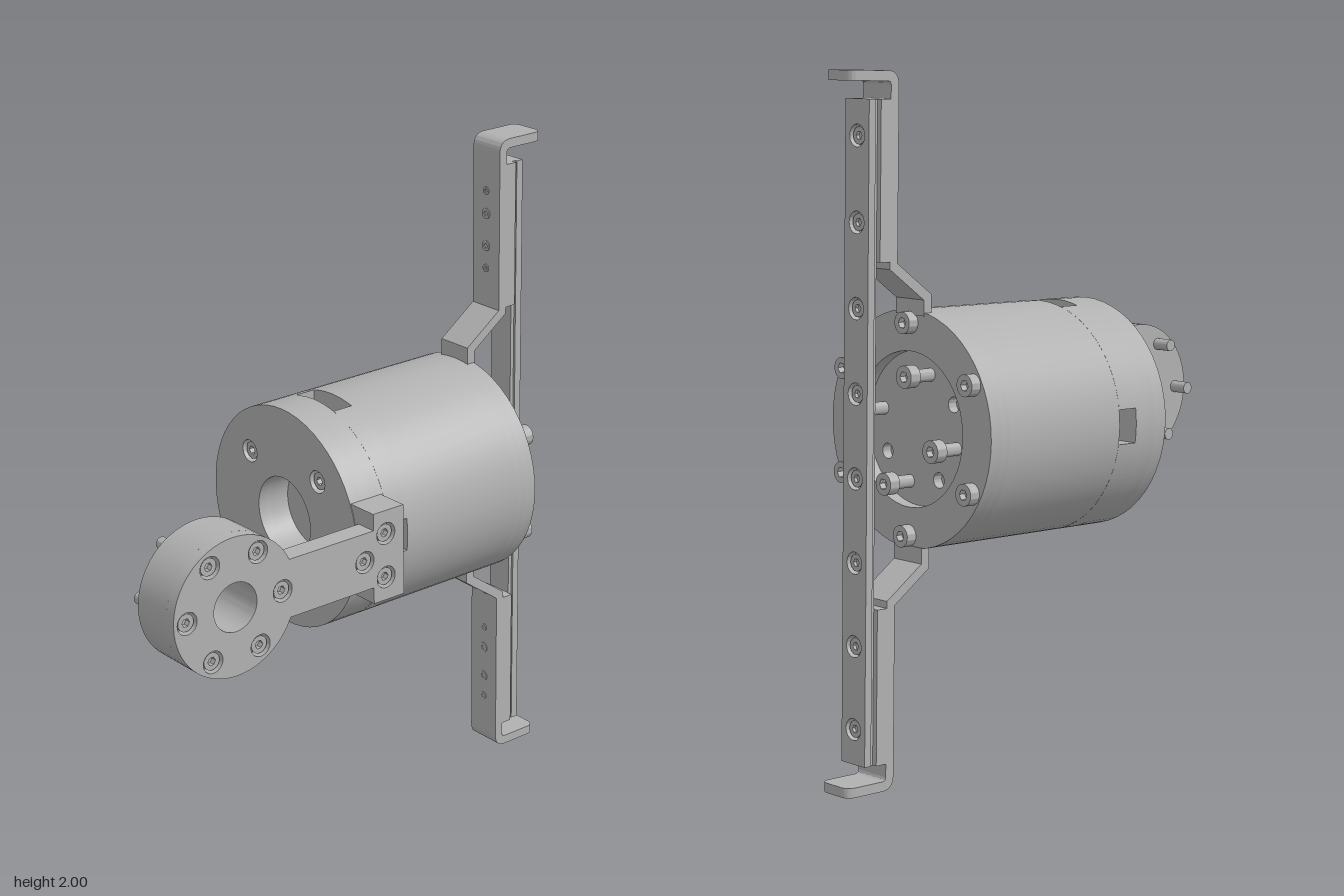
import * as THREE from 'three';
import { toCreasedNormals } from 'three/addons/utils/BufferGeometryUtils.js';

const metal = new THREE.MeshStandardMaterial({ color: 0xb0b0b0 });
metal.name = 'grey metal';

function add(parent, name, geometry) {
  const mesh = new THREE.Mesh(geometry, metal);
  mesh.name = name;
  parent.add(mesh);
  return mesh;
}

function box(parent, name, x0, x1, y0, y1, z0, z1) {
  add(parent, name, new THREE.BoxGeometry(x1 - x0, y1 - y0, z1 - z0))
    .position.set((x0 + x1) / 2, (y0 + y1) / 2, (z0 + z1) / 2);
}

// Plate of any outline between two depths; holes are [x, y, radius]
function plate(parent, name, shape, z0, z1, holes = []) {
  for (const [x, y, r] of holes) {
    shape.holes.push(new THREE.Path().absarc(x, y, r, 0, Math.PI * 2, true));
  }
  const geometry = new THREE.ExtrudeGeometry(shape, { depth: z1 - z0, bevelEnabled: false, curveSegments: 28 });
  const mesh = add(parent, name, toCreasedNormals(geometry, 0.5));
  mesh.position.z = z0;
  return mesh;
}

const circle = (r, x = 0, y = 0) => new THREE.Shape().absarc(x, y, r, 0, Math.PI * 2, false);
const outline = (points) => new THREE.Shape(points.map(([x, y]) => new THREE.Vector2(x, y)));
const polar = (r, count, start = 0) => Array.from({ length: count }, (_, i) => {
  const a = start + (i / count) * Math.PI * 2;
  return [r * Math.cos(a), r * Math.sin(a)];
});

// Socket-head screw whose top lies at z and faces +z (or -z when back is true)
function screw(parent, x, y, z, r, length, back = false, shank = 0) {
  const group = new THREE.Group();
  group.name = 'screw';
  group.position.set(x, y, z);
  if (back) group.rotation.y = Math.PI;
  const head = circle(r);
  head.holes.push(new THREE.Path(polar(r * 0.5, 6).reverse().map(([a, b]) => new THREE.Vector2(a, b))));
  const depth = Math.min(length * 0.6, 0.02);
  plate(group, 'screwHead', head, -depth, 0);
  plate(group, 'screwBase', circle(r), -length, -depth);
  if (shank) plate(group, 'screwShank', circle(r * 0.58), -length - shank, -length);
  parent.add(group);
}

function addDrum(root) {
  const drum = new THREE.Group();
  drum.name = 'drum';
  root.add(drum);
  const R = 0.336;
  const bore = [0, 0, 0.122];
  const corners = [[1, 1], [-1, 1], [-1, -1], [1, -1]].map(([x, y]) => [x * 0.159, y * 0.159]);

  // Front with a central bore and four sunk screws
  plate(drum, 'frontPlate', circle(R), 0.1, 0.142, [bore, ...corners.map(([x, y]) => [x, y, 0.034])]);
  plate(drum, 'frontBody', circle(R), 0.035, 0.1, [bore]);
  plate(drum, 'boreFloor', circle(R), 0.022, 0.035);
  for (const [x, y] of corners) screw(drum, x, y, 0.134, 0.026, 0.034);

  // Slotted band: open from top to bottom, with a pocket on each side
  const a = Math.acos(0.0875 / R);
  const b = Math.asin(0.05 / R);
  for (const turn of [0, Math.PI]) {
    const half = new THREE.Shape();
    half.absarc(0, 0, R, b, a, false);
    half.absarc(0, 0, R, -a, -b, false);
    half.lineTo(0.22, -0.05);
    half.lineTo(0.22, 0.05);
    plate(drum, 'slottedBand', half, -0.045, 0.022).rotation.z = turn;
  }

  // Back with a recess, two rings of bolts and small holes
  plate(drum, 'rearBody', circle(R), -0.47, -0.045);
  plate(drum, 'recessFloor', circle(R), -0.5, -0.47, polar(0.16, 4, Math.PI / 3).map(([x, y]) => [x, y, 0.022]));
  plate(drum, 'rearRim', circle(R), -0.54, -0.5, [[0, 0, 0.22]]);
  for (const [x, y] of polar(0.3, 6, Math.PI / 6)) screw(drum, x, y, -0.572, 0.031, 0.034, true);
  for (const [x, y] of polar(0.16, 4, Math.PI / 12)) screw(drum, x, y, -0.6, 0.032, 0.035, true, 0.067);
}

// Side arm, drawn flat: x runs backwards, y up, z out to the side
function addArm(root) {
  const arm = new THREE.Group();
  arm.name = 'sideArm';
  arm.rotation.y = Math.PI / 2;
  root.add(arm);
  const cx = -0.626, r = 0.207, h = 0.0875, H = 0.1375;
  const discScrews = polar(0.162, 6).map(([x, y]) => [x + cx, y]);
  const armScrews = [[-0.172, 0], [-0.095, 0.067], [-0.095, -0.067]];
  const a = Math.asin(h / r);

  const face = new THREE.Shape();
  face.absarc(cx, 0, r, a, Math.PI * 2 - a, false);
  for (const [x, y] of [[-0.14, -h], [-0.14, -H], [-0.03, -H], [-0.03, H], [-0.14, H], [-0.14, h]]) face.lineTo(x, y);
  plate(arm, 'armFace', face, 0.372, 0.407,
    [[cx, 0, 0.073], ...[...discScrews, ...armScrews].map(([x, y]) => [x, y, 0.033])]);
  plate(arm, 'armDisc', circle(r, cx), 0.242, 0.372, [[cx, 0, 0.073]]);
  box(arm, 'armBar', -0.44, -0.14, -h, h, 0.342, 0.372);
  box(arm, 'clampBlock', -0.14, -0.03, -H, H, 0.307, 0.372);

  for (const [x, y] of [...discScrews, ...armScrews]) screw(arm, x, y, 0.4, 0.026, 0.028);
  for (const [x, y] of discScrews) plate(arm, 'pin', circle(0.018, x, y), 0.184, 0.242);
  plate(arm, 'armNut', circle(0.022, -0.168, 0), 0.3, 0.342);
}

// Bent strap with a hooked end; the lower one is the upper turned half round
function addBracket(root) {
  const w = 0.0585;
  const holder = new THREE.Group();
  holder.name = 'bracket';
  holder.position.y = -0.0035;
  root.add(holder);
  for (const turn of [0, Math.PI]) {
    const strap = new THREE.Group();
    strap.name = turn ? 'lowerStrap' : 'upperStrap';
    strap.rotation.z = turn;
    holder.add(strap);

    const side = new THREE.Shape();
    side.moveTo(-0.515, 0.325);
    side.lineTo(-0.515, 0.385);
    side.lineTo(-0.64, 0.475);
    side.lineTo(-0.64, 0.9585);
    side.quadraticCurveTo(-0.64, 0.9985, -0.68, 0.9985);
    side.lineTo(-0.7, 0.9985);
    side.lineTo(-0.7, 0.9705);
    side.lineTo(-0.68, 0.9705);
    side.quadraticCurveTo(-0.668, 0.9705, -0.668, 0.9585);
    side.lineTo(-0.668, 0.46);
    side.lineTo(-0.543, 0.37);
    side.lineTo(-0.543, 0.325);
    const strip = plate(strap, 'strip', side, -w, w);
    strip.rotation.y = -Math.PI / 2;
    strip.position.set(w, 0, 0);

    const tab = new THREE.Shape();
    tab.moveTo(-w, -0.7);
    tab.lineTo(-w, -0.775);
    tab.quadraticCurveTo(-w, -0.805, -w + 0.03, -0.805);
    tab.lineTo(w - 0.03, -0.805);
    tab.quadraticCurveTo(w, -0.805, w, -0.775);
    tab.lineTo(w, -0.7);
    const hook = plate(strap, 'hook', tab, 0, 0.028);
    hook.rotation.x = Math.PI / 2;
    hook.position.y = 0.9985;

    box(strap, 'spacer', -w, w, 0.48, 0.922, -0.703, -0.668);
    for (const [y, r] of [[0.835, 0.012], [0.765, 0.016], [0.665, 0.016], [0.595, 0.012]]) {
      screw(strap, 0, y, -0.637, r, 0.01);
    }
  }

  // Long rail behind both straps with a row of sunk screws
  const ys = Array.from({ length: 8 }, (_, i) => (i - 3.5) * 0.235);
  const rail = outline([[-0.05, -0.922], [0.05, -0.922], [0.05, 0.922], [-0.05, 0.922]]);
  plate(holder, 'rail', rail, -0.738, -0.715, ys.map((y) => [0, y, 0.031]));
  box(holder, 'railCore', -0.043, 0.043, -0.922, 0.922, -0.715, -0.703);
  for (const y of ys) screw(holder, 0, y, -0.731, 0.024, 0.016, true);
}

export function createModel() {
  const model = new THREE.Group();
  model.name = 'mountedDrum';
  const tilted = new THREE.Group();
  tilted.name = 'assembly';
  tilted.position.set(-0.037, 0.988, 0);
  tilted.rotation.x = 0.021;
  model.add(tilted);
  addDrum(tilted);
  addArm(tilted);
  addBracket(tilted);
  return model;
}
